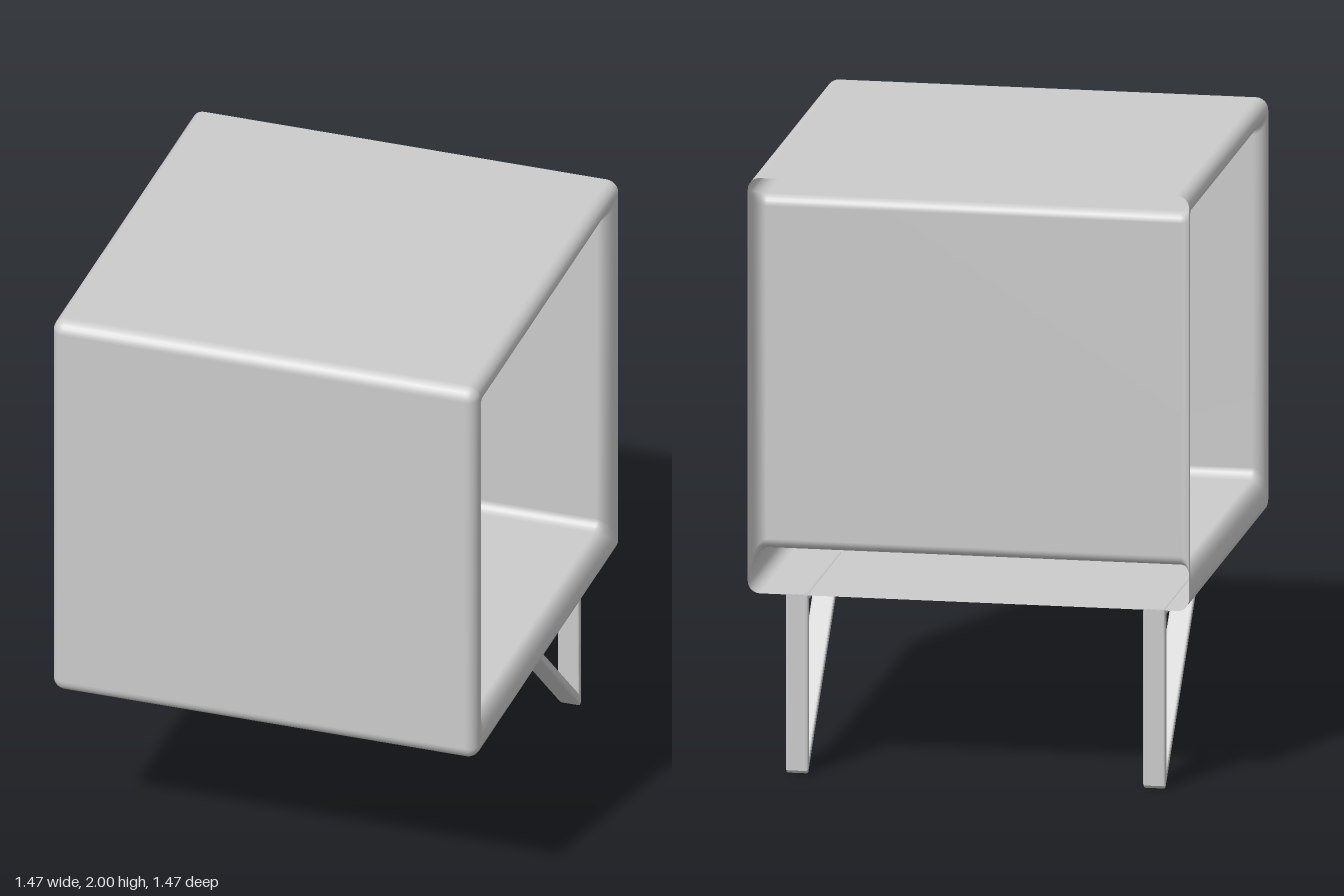
import * as THREE from 'three';

const SEG = 6; // segments per rounded corner

// Rounded rectangle in the (z, y) plane, starting at the back bottom corner.
function ringPoints({ back, front, low, high, rBack, rFront }) {
  const corners = [
    [back + rBack, low + rBack, rBack, Math.PI],
    [front - rFront, low + rFront, rFront, 1.5 * Math.PI],
    [front - rFront, high - rFront, rFront, 0],
    [back + rBack, high - rBack, rBack, 0.5 * Math.PI],
  ];
  const pts = [];
  for (const [z, y, r, start] of corners) {
    for (let i = 0; i <= SEG; i++) {
      const a = start + (i / SEG) * Math.PI / 2;
      pts.push([z + r * Math.cos(a), y + r * Math.sin(a)]);
    }
  }
  return pts;
}

// Outer shell bounds, inset by e everywhere but at the open back.
const outerBounds = (e) => ({
  back: -0.73, front: 0.735 - e, low: 0.602 + e, high: 2 - e, rBack: 0, rFront: 0.045 - e,
});
const opening = { back: -0.64, front: 0.645, low: 0.73, high: 1.92, rBack: 0.035, rFront: 0.035 };

function mixBounds(a, b, t) {
  const out = {};
  for (const k in a) out[k] = a[k] + (b[k] - a[k]) * t;
  return out;
}

// Hollow case: outer skin, rounded side rims and a through tunnel; the back stays open.
function caseGeometry() {
  const half = [];
  for (let i = 0; i <= SEG; i++) {
    const a = (i / SEG) * Math.PI / 2;
    half.push({ x: 0.695 + 0.04 * Math.sin(a), bounds: outerBounds(0.04 * (1 - Math.cos(a))), open: i < SEG });
  }
  for (let i = 0; i <= SEG; i++) {
    const a = (i / SEG) * Math.PI / 2;
    half.push({
      x: 0.69 + 0.045 * Math.cos(a),
      bounds: mixBounds(outerBounds(0.04), opening, 0.1 + 0.9 * Math.sin(a)),
      open: false,
    });
  }
  const mirrored = half.map((r) => ({ ...r, x: -r.x })).reverse();
  const rings = [...half, ...mirrored];

  const pos = [], index = [];
  const n = 4 * (SEG + 1), m = rings.length;
  for (const r of rings) for (const [z, y] of ringPoints(r.bounds)) pos.push(r.x, y, z);
  for (let i = 0; i < m; i++) {
    const k = (i + 1) % m;
    const skipBack = rings[i].open || rings[k].open;
    for (let j = 0; j < (skipBack ? n - 1 : n); j++) {
      const l = (j + 1) % n;
      index.push(i * n + j, k * n + j, k * n + l, i * n + j, k * n + l, i * n + l);
    }
  }
  const g = new THREE.BufferGeometry();
  g.setAttribute('position', new THREE.Float32BufferAttribute(pos, 3));
  g.setIndex(index);
  g.computeVertexNormals();
  return g;
}

// Triangular leg frame, drawn with u = -z and extruded along x.
function legGeometry() {
  const bevel = 0.008, width = 0.075;
  const shape = new THREE.Shape([[0.11, 0.604], [0.11, 0.585], [0.718, 0], [0.728, 0.01], [0.728, 0.604]]
    .map(([u, v]) => new THREE.Vector2(u, v)));
  shape.holes.push(new THREE.Path([[0.155, 0.58], [0.702, 0.58], [0.702, 0.055]]
    .map(([u, v]) => new THREE.Vector2(u, v))));
  const g = new THREE.ExtrudeGeometry(shape, {
    depth: width - 2 * bevel, bevelEnabled: true, bevelSize: bevel,
    bevelThickness: bevel, bevelOffset: -bevel, bevelSegments: 3,
  });
  g.translate(0, 0, -(width / 2 - bevel));
  g.rotateY(Math.PI / 2);
  return g;
}

export function createModel() {
  const model = new THREE.Group();
  const material = new THREE.MeshStandardMaterial({ color: 0xcccccc, side: THREE.DoubleSide });

  const shell = new THREE.Mesh(caseGeometry(), material);
  shell.name = 'openCase';
  model.add(shell);

  // Two legs under the back edge
  const leg = legGeometry();
  for (const [name, x] of [['rightLeg', -0.618], ['leftLeg', 0.572]]) {
    const mesh = new THREE.Mesh(leg, material);
    mesh.name = name;
    mesh.position.x = x;
    model.add(mesh);
  }
  return model;
}
